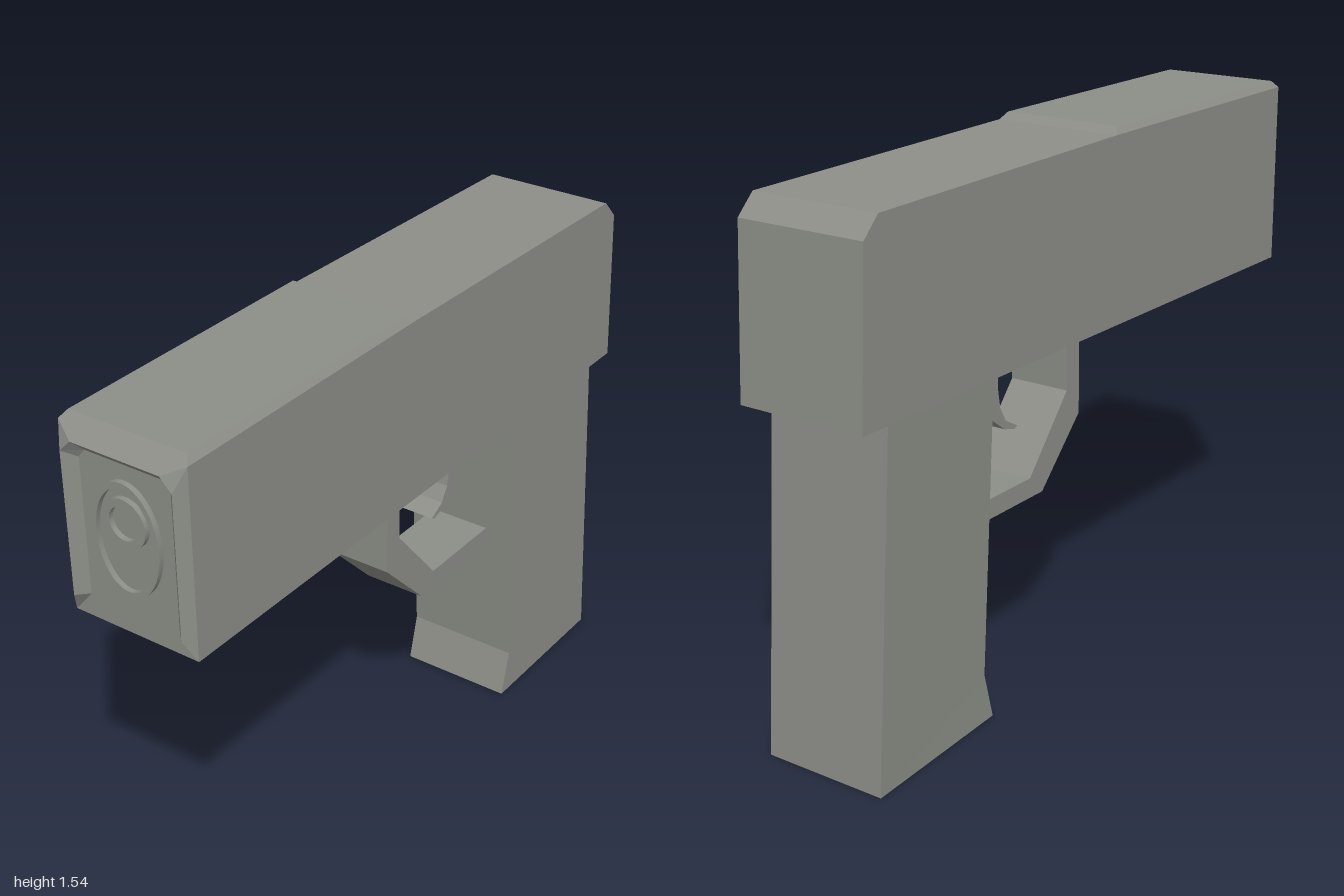
import * as THREE from 'three';
import { toCreasedNormals } from 'three/addons/utils/BufferGeometryUtils.js';

const grey = new THREE.MeshStandardMaterial({ color: 0x8c8e87 });
grey.name = 'grey';

// Extrude a side profile given as [z, y] points from x0 to x1
function prism(points, x0, x1) {
  const shape = new THREE.Shape(points.map(([z, y]) => new THREE.Vector2(-z, y)));
  const geo = new THREE.ExtrudeGeometry(shape, { depth: x1 - x0, bevelEnabled: false });
  return geo.rotateY(Math.PI / 2).translate(x0, 0, 0);
}

// Flat-faced geometry from triangles and quads, corners counter-clockwise
function faces(list) {
  const pos = [];
  for (const f of list) {
    for (let i = 1; i < f.length - 1; i++) pos.push(...f[0], ...f[i], ...f[i + 1]);
  }
  const geo = new THREE.BufferGeometry();
  geo.setAttribute('position', new THREE.Float32BufferAttribute(pos, 3));
  geo.computeVertexNormals();
  return geo;
}

// Raised elliptical ring on the front plate
function ellipseRing(y, rx, ry, width, z, depth) {
  const shape = new THREE.Shape().absellipse(0, y, rx, ry, 0, Math.PI * 2);
  shape.holes.push(new THREE.Path().absellipse(0, y, rx - width, ry - width, 0, Math.PI * 2, true));
  const geo = new THREE.ExtrudeGeometry(shape, { depth, bevelEnabled: false, curveSegments: 40 });
  return toCreasedNormals(geo.translate(0, 0, z), 0.6);
}

export function createModel() {
  const group = new THREE.Group();
  const add = (name, geo) => {
    const mesh = new THREE.Mesh(geo, grey);
    mesh.name = name;
    group.add(mesh);
  };

  // Long upper body with a sloped rear
  const W = 0.195;
  add('upperBody', prism([
    [0.97, 0.985], [0.97, 1.52], [0.07, 1.52], [-0.92, 1.505], [-0.975, 1.45], [-1, 0.985],
  ], -W, W));

  // Bevelled raised panel on the front half of the top
  const low = [[-W, 1.52, 0.97], [W, 1.52, 0.97], [W, 1.52, 0.07], [-W, 1.52, 0.07]];
  const high = [[-0.18, 1.54, 0.95], [0.18, 1.54, 0.95], [0.18, 1.54, 0.09], [-0.18, 1.54, 0.09]];
  const panel = [high];
  for (let i = 0; i < 4; i++) {
    const j = (i + 1) % 4;
    panel.push([low[i], low[j], high[j], high[i]]);
  }
  add('topPanel', faces(panel));

  // Bevelled frame around the front, open at the bottom
  const mirrorPath = (half, z) => [
    ...half.map(([x, y]) => [-x, y, z]),
    ...half.slice().reverse().map(([x, y]) => [x, y, z]),
  ];
  const outer = mirrorPath([[W, 0.985], [W, 1.52], [W, 1.52]], 0.97);
  const ridge = mirrorPath([[0.17, 1.05], [0.17, 1.455], [0.135, 1.49]], 1);
  const inner = mirrorPath([[0.14, 1.05], [0.14, 1.435], [0.12, 1.46]], 0.97);
  const frame = [];
  for (let i = 0; i < 5; i++) {
    frame.push([outer[i], ridge[i], ridge[i + 1], outer[i + 1]]);
    frame.push([ridge[i], inner[i], inner[i + 1], ridge[i + 1]]);
  }
  frame.push([outer[0], inner[0], ridge[0]], [outer[5], ridge[5], inner[5]]);
  add('frontFrame', faces(frame));

  // Rings on the front plate
  add('frontOvalRing', ellipseRing(1.26, 0.105, 0.158, 0.016, 0.968, 0.017));
  add('frontRoundRing', ellipseRing(1.307, 0.067, 0.067, 0.022, 0.968, 0.017));

  // Handle, slightly narrower at its front edge on one side
  const handle = prism([
    [-0.44, 0.99], [-0.495, 0.138], [-0.46, 0], [-0.965, 0], [-0.895, 0.99],
  ], -0.185, 0.19);
  const p = handle.attributes.position;
  for (let i = 0; i < p.count; i++) {
    if (p.getX(i) < 0 && p.getZ(i) > -0.7) p.setX(i, -0.16);
  }
  handle.computeVertexNormals();
  add('handle', handle);

  // Angular loop below the body
  add('guardLoop', prism([
    [0.06, 0.99], [0.06, 0.712], [-0.12, 0.53], [-0.48, 0.53],
    [-0.48, 0.588], [-0.178, 0.588], [0, 0.795], [0, 0.99],
  ], -0.085, 0.105));

  // Curved lever inside the loop
  add('lever', prism([
    [-0.29, 0.99], [-0.29, 0.88], [-0.28, 0.82], [-0.255, 0.775], [-0.203, 0.747],
    [-0.215, 0.74], [-0.26, 0.752], [-0.318, 0.795], [-0.355, 0.87], [-0.355, 0.99],
  ], -0.06, 0.08));

  return group;
}
